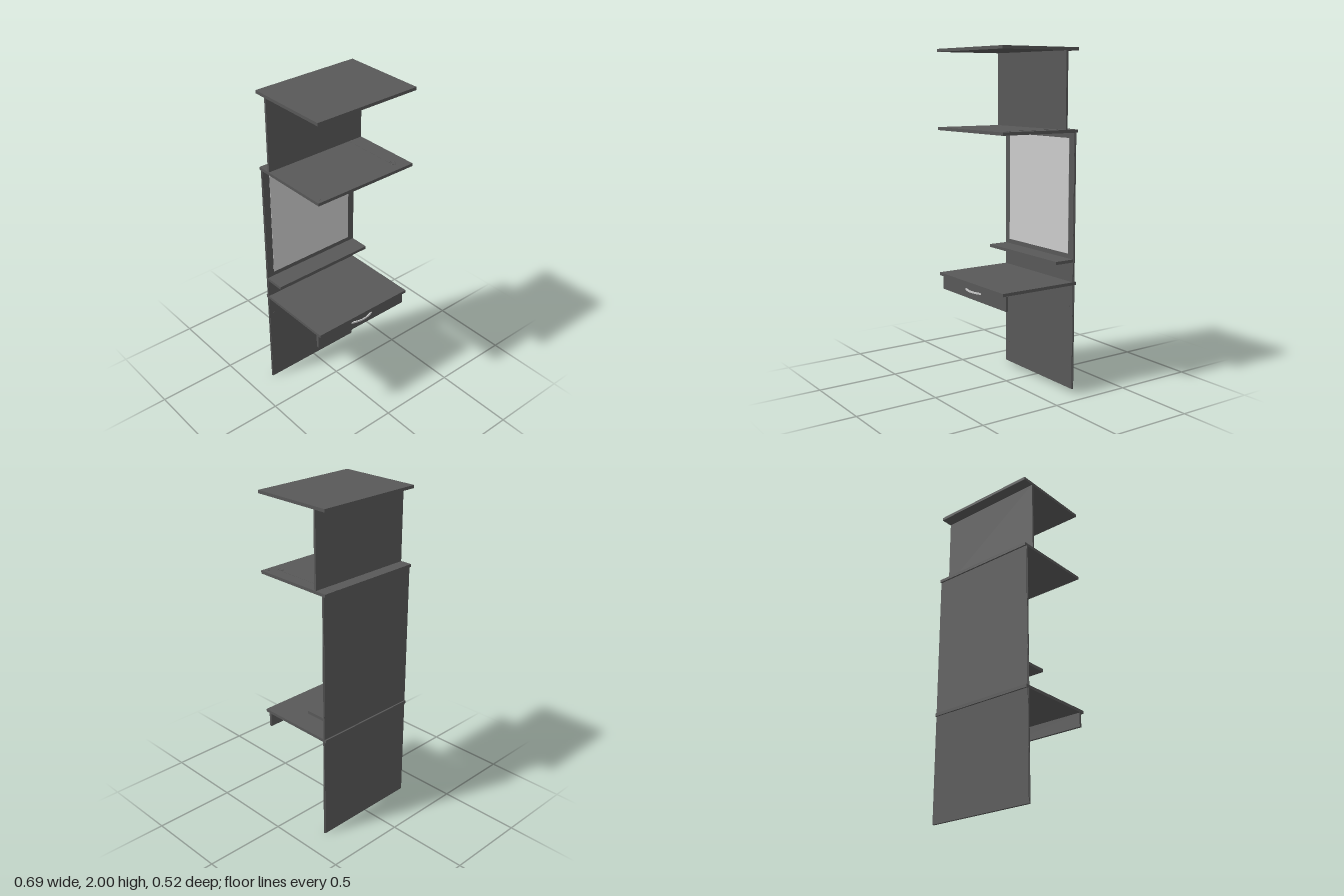
import * as THREE from 'three';

const board = new THREE.MeshStandardMaterial({ color: 0x585858 });
const light = new THREE.MeshStandardMaterial({ color: 0xcccccc });

export function createModel() {
  const model = new THREE.Group();

  const add = (name, geometry, material = board) => {
    const mesh = new THREE.Mesh(geometry, material);
    mesh.name = name;
    model.add(mesh);
    return mesh;
  };
  // Box given by its extents on each axis
  const box = (name, [x0, x1], [y0, y1], [z0, z1], material) => {
    const mesh = add(name, new THREE.BoxGeometry(x1 - x0, y1 - y0, z1 - z0), material);
    mesh.position.set((x0 + x1) / 2, (y0 + y1) / 2, (z0 + z1) / 2);
    return mesh;
  };
  const full = [-0.34, 0.34];

  // Horizontal boards
  box('topBoard', full, [1.982, 2], [-0.26, 0.26]);
  box('middleShelf', full, [1.522, 1.54], [-0.26, 0.26]);
  box('smallShelf', full, [0.769, 0.787], [-0.236, -0.112]);
  box('deskTop', full, [0.633, 0.651], [-0.26, 0.26]);

  // Upright panels
  box('upperBackPanel', [-0.338, 0.338], [1.54, 1.982], [-0.187, -0.174]);
  box('mirrorBackPanel', full, [0.651, 1.522], [-0.25, -0.236]);
  box('lowerBackPanel', full, [0, 0.633], [-0.25, -0.236]);

  // Thin strips along the edges of the back panels
  for (const s of [-1, 1]) {
    for (const [y0, y1] of [[0, 0.633], [0.651, 1.522]]) {
      const strip = box('edgeStrip', [-0.0015, 0.0015], [y0, y1], [-0.246, -0.24]);
      strip.position.x = s * 0.3415;
    }
  }

  // Mirror
  box('mirror', [-0.295, 0.295], [0.815, 1.49], [-0.237, -0.234], light);

  // Drawer front with a bowed handle
  box('drawerFront', [-0.337, 0.337], [0.545, 0.63], [0.222, 0.237]);
  const bow = new THREE.Shape();
  bow.moveTo(-0.085, 0);
  bow.quadraticCurveTo(0, 0.04, 0.085, 0);
  bow.lineTo(0.065, 0);
  bow.quadraticCurveTo(0, 0.028, -0.065, 0);
  const bowGeometry = new THREE.ExtrudeGeometry(bow, { depth: 0.01, bevelEnabled: false, curveSegments: 16 });
  bowGeometry.rotateX(Math.PI / 2);
  add('handle', bowGeometry, light).position.set(0, 0.6, 0.236);

  // Screw caps on the lower panel
  for (const x of [-0.31, 0.31]) {
    for (const y of [0.13, 0.505]) {
      const cap = add('screwCap', new THREE.CylinderGeometry(0.008, 0.008, 0.002, 16));
      cap.rotation.x = Math.PI / 2;
      cap.position.set(x, y, -0.2355);
    }
  }

  // Cable channel cover and cable hole rim on the middle shelf
  box('cableCover', [0.243, 0.269], [1.539, 1.541], [-0.26, 0.17]);
  const rim = add('cableRim', new THREE.TorusGeometry(0.016, 0.002, 6, 24));
  rim.rotation.x = Math.PI / 2;
  rim.position.set(0.256, 1.54, 0.19);
  for (const x of [-0.31, 0.31]) {
    add('shelfCap', new THREE.CylinderGeometry(0.008, 0.008, 0.002, 16)).position.set(x, 1.54, 0.23);
  }

  return model;
}
